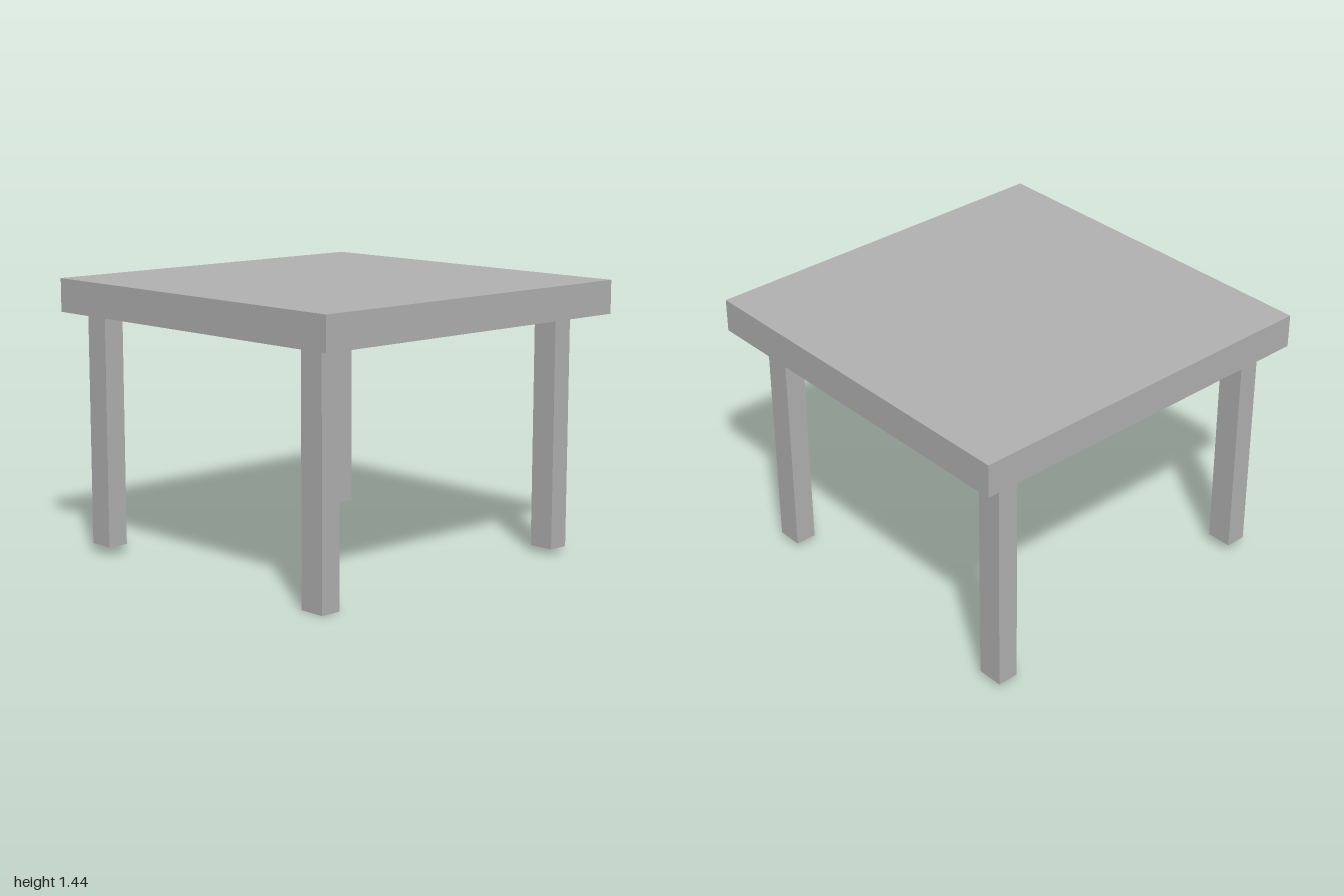
import * as THREE from 'three';

export function createModel() {
  const model = new THREE.Group();
  model.name = 'table';

  const grey = new THREE.MeshStandardMaterial({ color: 0xb2b2b2 });
  grey.name = 'grey';

  // Box standing on a given height, centred on x and z
  function addBox(name, width, depth, bottom, top, x, z) {
    const mesh = new THREE.Mesh(new THREE.BoxGeometry(width, top - bottom, depth), grey);
    mesh.name = name;
    mesh.position.set(x, (bottom + top) / 2, z);
    model.add(mesh);
  }

  // Thick square top
  const underside = 1.265;
  addBox('tableTop', 2, 2, underside, 1.44, 0, 0);

  // Four legs, slightly uneven in place and length: name, x, z, foot height
  const legs = [
    ['frontRightLeg', -0.831, 0.78, 0],
    ['frontLeftLeg', 0.821, 0.764, 0.03],
    ['backRightLeg', -0.868, -0.801, 0.047],
    ['backLeftLeg', 0.783, -0.819, 0.025],
  ];
  for (const [name, x, z, foot] of legs) {
    addBox(name, 0.113, 0.14, foot, underside, x, z);
  }

  return model;
}
